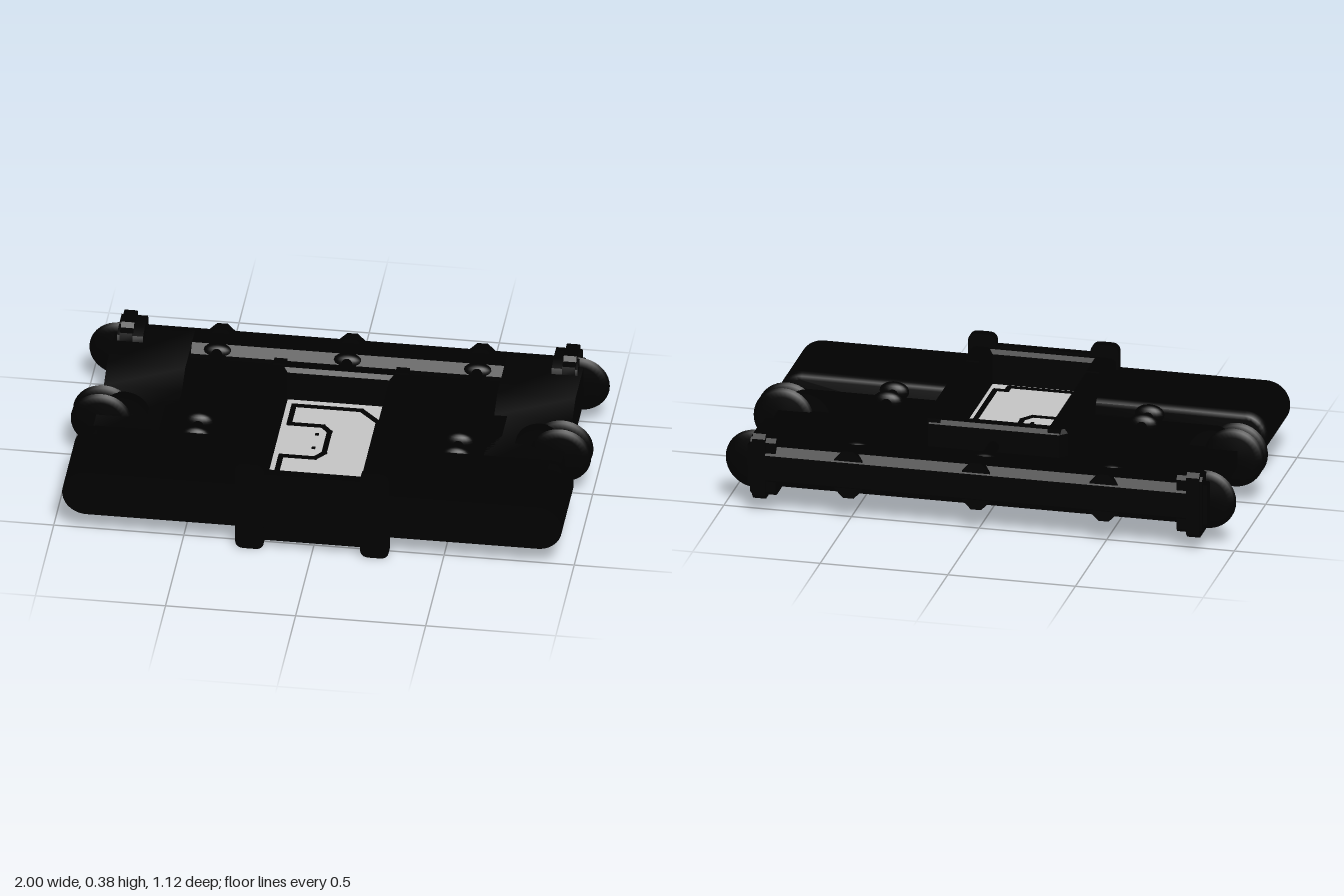
import * as THREE from 'three';
import { toCreasedNormals } from 'three/addons/utils/BufferGeometryUtils.js';

const black = new THREE.MeshStandardMaterial({ color: 0x000000 });
black.name = 'matte black';
const grey = new THREE.MeshStandardMaterial({ color: 0xc6c6c6 });
grey.name = 'light grey';

export function createModel() {
  const root = new THREE.Group();
  root.name = 'device';
  root.position.y = 0.19; // the whole device is symmetric about this height

  const add = (name, geometry, x = 0, y = 0, z = 0, material = black, parent = root) => {
    const mesh = new THREE.Mesh(geometry, material);
    mesh.name = name;
    mesh.position.set(x, y, z);
    parent.add(mesh);
    return mesh;
  };
  const shapeOf = (pts) => new THREE.Shape(pts.map(([x, y]) => new THREE.Vector2(x, y)));
  // Straight extrusion centred on its depth
  const prism = (shape, depth) => {
    const g = new THREE.ExtrudeGeometry(shape, { depth, bevelEnabled: false, curveSegments: 12 });
    g.translate(0, 0, -depth / 2);
    return toCreasedNormals(g, 0.6);
  };
  // Block with chamfered corners in the xy plane, extruded along z
  const chamfered = (w, h, d, c) => {
    const a = w / 2, b = h / 2;
    return prism(shapeOf([[-a + c, -b], [a - c, -b], [a, -b + c], [a, b - c],
      [a - c, b], [-a + c, b], [-a, b - c], [-a, -b + c]]), d);
  };
  // Profile drawn in (z, y), extruded along x
  const sideProfile = (pts, width) => prism(shapeOf(pts), width).rotateY(-Math.PI / 2);
  // Closes a (z, y) upper outline by mirroring it below
  const mirrored = (upper) => [...upper, ...upper.slice().reverse().map(([z, y]) => [z, -y])];
  // Half of a long capsule, from the centre frame to a rounded tip
  const wingShape = (tip, r) => {
    const s = new THREE.Shape();
    s.moveTo(0.25, -r);
    s.lineTo(tip - r, -r);
    s.absarc(tip - r, 0, r, -Math.PI / 2, Math.PI / 2);
    s.lineTo(0.25, r);
    return s;
  };

  // Bar along the back edge, joined to the centre frame
  add('rearBar', sideProfile(mirrored([[-0.557, 0.05], [-0.53, 0.08], [-0.43, 0.08], [-0.395, 0.05]]), 1.74));
  add('rearDeckCentre', new THREE.BoxGeometry(0.54, 0.066, 0.19), 0, 0, -0.33);

  // Central frame, open through the middle
  const frame = shapeOf([[-0.25, -0.255], [0.25, -0.255], [0.27, -0.235], [0.27, 0.515], [-0.27, 0.515], [-0.27, -0.235]]);
  frame.holes.push(new THREE.Path([[-0.215, -0.215], [-0.215, 0.505], [0.205, 0.505], [0.205, -0.215]]
    .map(([x, y]) => new THREE.Vector2(x, y))));
  const frameGeo = new THREE.ExtrudeGeometry(frame,
    { depth: 0.25, bevelSize: 0.015, bevelThickness: 0.015, bevelSegments: 1 });
  frameGeo.translate(0, 0, -0.125);
  add('centreFrame', frameGeo.rotateX(Math.PI / 2));
  add('frontPlate', chamfered(0.56, 0.295, 0.03, 0.02), 0, 0, 0.54);

  // Thin panel at mid height, with a seam line on both faces
  add('panelPlate', new THREE.BoxGeometry(0.41, 0.008, 0.71), -0.005, 0, 0.145, grey);
  const seam = [[-0.17, -0.16], [0.09, -0.16], [0.165, -0.085], [0.165, 0.43], [0.12, 0.43],
    [0.12, 0.47], [-0.17, 0.47], [-0.17, 0.195], [-0.04, 0.195], [-0.01, 0.155], [-0.01, 0.005],
    [-0.04, -0.03], [-0.17, -0.03]];
  for (const y of [0.005, -0.005]) {
    seam.forEach(([x0, z0], i) => {
      const [x1, z1] = seam[(i + 1) % seam.length];
      const line = add('panelSeam', new THREE.BoxGeometry(Math.hypot(x1 - x0, z1 - z0) + 0.016, 0.004, 0.02),
        (x0 + x1) / 2, y, (z0 + z1) / 2);
      line.rotation.y = -Math.atan2(z1 - z0, x1 - x0);
    });
    for (const z of [0.03, 0.125]) add('panelDot', new THREE.BoxGeometry(0.014, 0.004, 0.014), -0.055, y, z);
  }

  const cylinder = (r, depth) => new THREE.CylinderGeometry(r, r, depth, 32).rotateX(Math.PI / 2);
  // Disc that thins towards its rim
  const disc = toCreasedNormals(new THREE.LatheGeometry([[0, -0.015], [0.085, -0.015], [0.11, -0.01], [0.118, 0],
    [0.11, 0.01], [0.085, 0.015], [0, 0.015]].map(([x, y]) => new THREE.Vector2(x, y)), 36), 0.8).rotateX(Math.PI / 2);
  const knob = new THREE.SphereGeometry(1, 20, 12);
  const addKnob = (name, x, y, z, h) => add(name, knob, x, y, z).scale.set(0.058, h, 0.03);
  const lug = new THREE.Shape();
  lug.moveTo(-0.055, -0.05);
  lug.lineTo(0.055, -0.05);
  lug.lineTo(0.055, 0.015);
  lug.quadraticCurveTo(0.055, 0.05, 0.02, 0.05);
  lug.lineTo(-0.02, 0.05);
  lug.quadraticCurveTo(-0.055, 0.05, -0.055, 0.015);

  for (const s of [1, -1]) {
    // Front wing: rounded tip, chamfered rear edge
    const turn = s > 0 ? 0 : Math.PI;
    add('frontWing', prism(wingShape(0.96, 0.093), 0.325), 0, 0, 0.3925).rotation.z = turn;
    const rear = new THREE.ExtrudeGeometry(wingShape(0.935, 0.068),
      { depth: 0.05, bevelSize: 0.025, bevelThickness: 0.03, bevelSegments: 3, curveSegments: 12 });
    add('wingRearEdge', toCreasedNormals(rear, 0.6), 0, 0, 0.23).rotation.z = turn;

    // Thin deck beside the frame
    add('rearDeck', new THREE.BoxGeometry(0.4, 0.066, 0.65), s * 0.45, 0, -0.1);

    for (const v of [1, -1]) {
      // Rounded lugs at the front corners of the frame
      const m = add('frontLug', prism(lug, 0.036), s * 0.24, v * 0.14, 0.54);
      m.rotation.z = v > 0 ? 0 : Math.PI;
      // Raised pads along the frame
      add('framePad', new THREE.BoxGeometry(0.05, 0.01, 0.15), s * 0.235, v * 0.141, 0.43);
      add('frameRearPad', new THREE.BoxGeometry(0.05, 0.02, 0.04), s * 0.235, v * 0.136, -0.245);
      // Deck rails with oval knobs
      add('deckRail', cylinder(0.022, 0.72), s * 0.5, v * 0.056, -0.16);
      add('railFoot', new THREE.BoxGeometry(0.03, 0.03, 0.72), s * 0.5, v * 0.04, -0.16);
      for (const z of [0.085, 0.185]) addKnob('railKnob', s * 0.5, v * 0.062, z, 0.038);
      addKnob('railEndKnob', s * 0.5, v * 0.055, -0.42, 0.032);
    }
    add('barCollar', chamfered(0.11, 0.19, 0.045, 0.035), s * 0.5, 0, -0.53);

    // Side blocks that slope down to the thin deck
    add('sideBlock', sideProfile(mirrored([[-0.53, 0.08], [-0.245, 0.08], [-0.155, 0.033], [0.21, 0.033]]), 0.3), s * 0.75);

    // Rear corner clamps with a raised band
    const clamp = mirrored([[-0.55, 0.1], [-0.535, 0.115], [-0.455, 0.115], [-0.41, 0.1], [-0.395, 0.07]]);
    add('cornerClamp', sideProfile(clamp, 0.1), s * 0.835);
    const band = mirrored([[-0.557, 0.115], [-0.54, 0.132], [-0.455, 0.132], [-0.44, 0.115], [-0.41, 0.11], [-0.4, 0.08]]);
    add('clampBand', sideProfile(band, 0.05), s * 0.85);

    // Wheels: a drum between two thin discs, and a single disc at the rear
    add('wheelDrum', cylinder(0.1, 0.05), s * 0.8, 0, 0.005);
    for (const z of [-0.47, -0.025, 0.037]) add('wheelDisc', disc, s * 0.882, 0, z);
  }

  // Centre rail with its knobs
  for (const v of [1, -1]) {
    add('centreRail', cylinder(0.022, 0.3), 0, v * 0.056, -0.38);
    addKnob('centreKnob', 0, v * 0.055, -0.42, 0.032);
  }
  add('centreCollar', chamfered(0.11, 0.19, 0.045, 0.035), 0, 0, -0.53);

  const model = new THREE.Group();
  model.name = 'model';
  model.add(root);
  return model;
}
